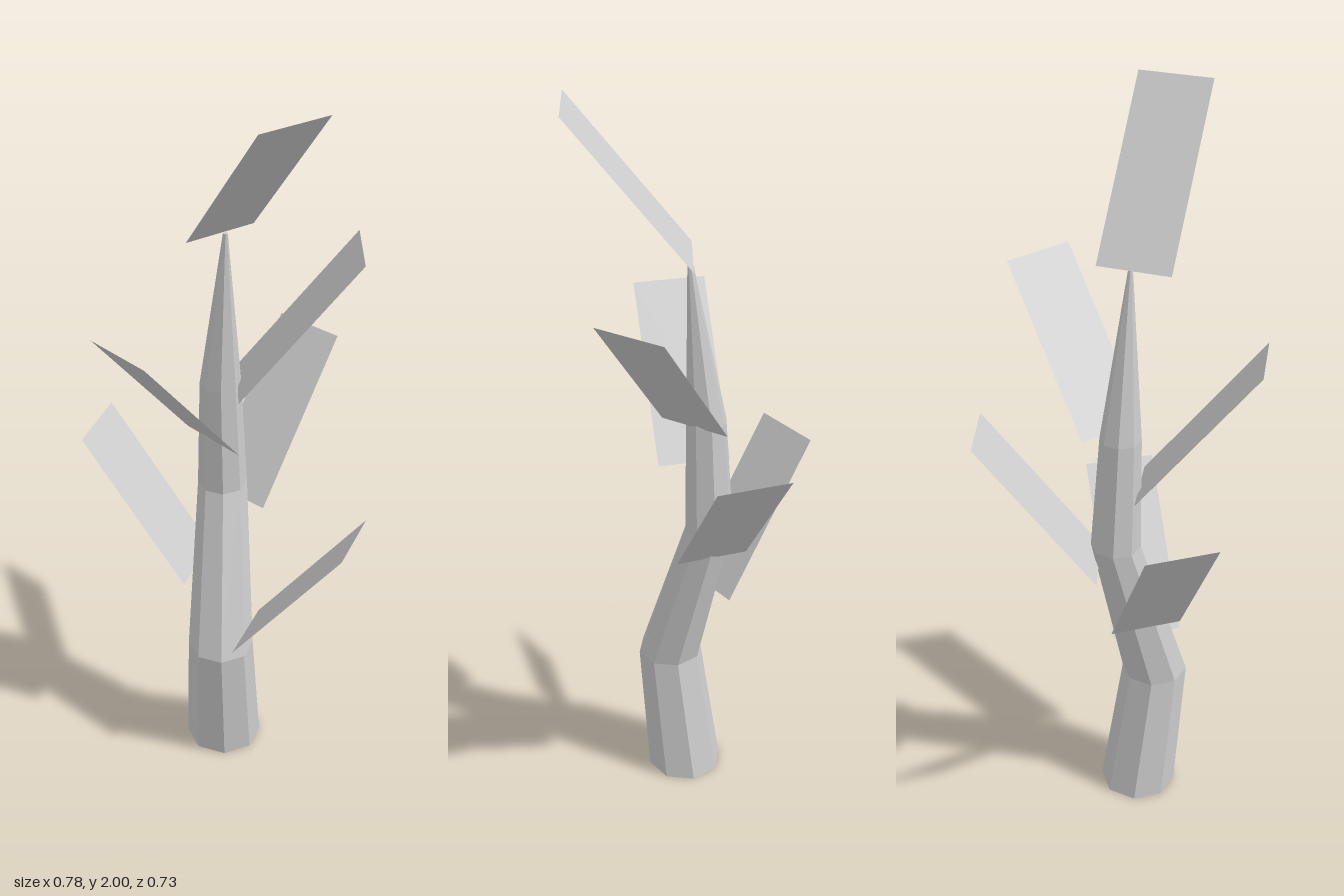
import * as THREE from 'three';

const material = new THREE.MeshStandardMaterial({ color: 0xcccccc, flatShading: true });
const leafMaterial = new THREE.MeshStandardMaterial({ color: 0xcccccc, flatShading: true, side: THREE.DoubleSide });

// Trunk rings from ground to tip: x, y, z, radius
const RINGS = [
  [-0.025, 0, 0.05, 0.104],
  [0.007, 0.38, 0.092, 0.089],
  [-0.077, 0.84, -0.007, 0.066],
  [-0.07, 1.16, 0.005, 0.054],
  [-0.03, 1.61, 0.025, 0.006],
];

// Leaves: middle of the base edge (x, y, z), then horizontal run (dx, dz) and rise
const LEAVES = [
  [0.075, 0.44, 0.064, 0.28, -0.108, 0.4],
  [-0.097, 0.59, 0.076, -0.257, 0.111, 0.41],
  [-0.072, 0.77, -0.053, -0.017, -0.31, 0.4],
  [-0.052, 1.01, 0.052, -0.013, 0.31, 0.39],
  [-0.032, 1.16, -0.02, 0.219, -0.214, 0.39],
  [-0.04, 1.61, 0.033, 0.3, 0.073, 0.39],
];
const LEAF_WIDTH = 0.194;

// Eight-sided cylinder whose rows are moved onto the bent, tapering rings
function createTrunk() {
  const rows = RINGS.length - 1;
  const geometry = new THREE.CylinderGeometry(1, 1, 1, 8, rows);
  const p = geometry.attributes.position;
  for (let i = 0; i < p.count; i++) {
    const [x, y, z, r] = RINGS[Math.round((p.getY(i) + 0.5) * rows)];
    p.setXYZ(i, x + p.getX(i) * r, y, z + p.getZ(i) * r);
  }
  geometry.computeVertexNormals();
  const trunk = new THREE.Mesh(geometry, material);
  trunk.name = 'trunk';
  return trunk;
}

// Flat rectangular leaf hinged on its base edge, turned outward and tilted up
function createLeaf([x, y, z, dx, dz, rise]) {
  const run = Math.hypot(dx, dz);
  const length = Math.hypot(run, rise);
  const geometry = new THREE.PlaneGeometry(LEAF_WIDTH, length);
  geometry.translate(0, length / 2, 0);
  geometry.rotateX(Math.atan2(run, rise));
  geometry.rotateY(Math.atan2(dx, dz));
  const leaf = new THREE.Mesh(geometry, leafMaterial);
  leaf.position.set(x, y, z);
  return leaf;
}

export function createModel() {
  const model = new THREE.Group();
  model.name = 'plant';
  model.add(createTrunk());
  LEAVES.forEach((data, i) => {
    const leaf = createLeaf(data);
    leaf.name = `leaf${i + 1}`;
    model.add(leaf);
  });
  return model;
}
